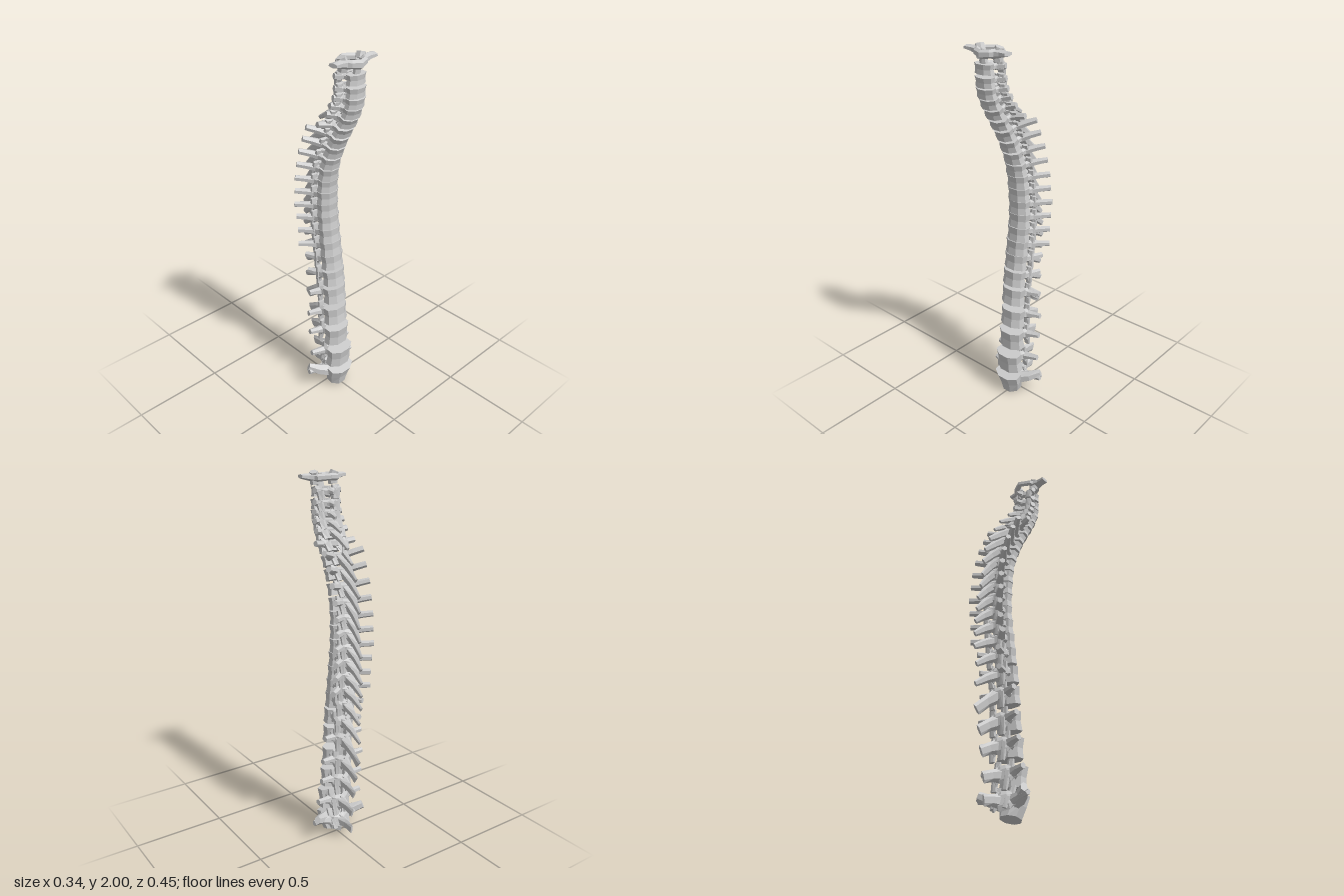
import * as THREE from 'three';

const bone = new THREE.MeshStandardMaterial({ color: 0xcccccc, flatShading: true });
const V = (x, y, z) => new THREE.Vector3(x, y, z);
const lerp = THREE.MathUtils.lerp;

// Vertebrae from top to bottom: [y, front z, tilt, rear spine tip y, rear spine tip z, side wing reach]
const cervical = [
  [1.893, 0.215, 0.05, 1.895, 0.065, 0.078],
  [1.832, 0.215, 0.1, 1.835, 0.06, 0.078],
  [1.78, 0.21, 0.18, 1.775, 0.045, 0.082],
  [1.73, 0.193, 0.32, 1.71, 0.0, 0.088],
  [1.678, 0.168, 0.42, 1.635, -0.065, 0.094],
  [1.62, 0.135, 0.45, 1.565, -0.105, 0.118],
];
const thoracic = [
  [1.56, 0.103, 0.45, 1.49, -0.14, 0.12],
  [1.495, 0.073, 0.38, 1.41, -0.17, 0.115],
  [1.425, 0.045, 0.3, 1.335, -0.178, 0.115],
  [1.355, 0.027, 0.2, 1.255, -0.18, 0.112],
  [1.285, 0.016, 0.1, 1.185, -0.19, 0.115],
  [1.213, 0.012, 0.05, 1.11, -0.205, 0.115],
  [1.14, 0.01, 0, 1.045, -0.21, 0.12],
  [1.067, 0.014, -0.03, 0.975, -0.218, 0.113],
  [0.99, 0.022, -0.05, 0.905, -0.22, 0.112],
  [0.912, 0.033, -0.07, 0.835, -0.22, 0.118],
  [0.832, 0.043, -0.08, 0.745, -0.205, 0.075],
  [0.735, 0.057, -0.1, 0.64, -0.21, 0.07],
];
const lumbar = [
  [0.625, 0.066, -0.1, 0.51, -0.2, 0.118],
  [0.49, 0.072, -0.08, 0.41, -0.18, 0.13],
  [0.355, 0.082, 0.06, 0.31, -0.165, 0.132],
  [0.213, 0.103, 0.12, 0.19, -0.15, 0.14],
  [0.073, 0.1, 0.3, 0.085, -0.145, 0.165],
];

// Regional proportions; pairs run from the first to the last vertebra.
// facet: [distance from the middle as a share of hw, thickness]
const regions = [
  { name: 'cervical', rows: cervical, hw: [0.052, 0.057], h: [0.048, 0.05], d: [0.06, 0.07],
    canal: 0.035, sweep: 0.015, tip: 0.02, blade: 0.042, facet: [1.02, 0.04] },
  { name: 'thoracic', rows: thoracic, hw: [0.056, 0.065], h: [0.056, 0.085], d: [0.075, 0.09],
    canal: 0.03, sweep: 0.065, tip: 0.03, blade: 0.056, facet: [0.72, 0.034] },
  { name: 'lumbar', rows: lumbar, hw: [0.067, 0.08], h: [0.092, 0.115], d: [0.094, 0.1],
    canal: 0.032, sweep: 0.012, tip: 0.058, blade: 0.074, facet: [0.58, 0.036] },
];

// Slight sideways drift of the upper half
const midX = (y) => -0.03 * THREE.MathUtils.clamp((y - 1.05) / 0.85, 0, 1);

// Angular strut: hexagonal sections along points [x, y, z, width, height]
function strut(name, pts, closed = false) {
  const n = 6, pos = [], idx = [];
  const P = pts.map((p) => V(p[0], p[1], p[2]));
  const count = pts.length;
  pts.forEach((p, i) => {
    const next = closed ? P[(i + 1) % count] : P[Math.min(i + 1, count - 1)];
    const prev = closed ? P[(i + count - 1) % count] : P[Math.max(i - 1, 0)];
    const t = next.clone().sub(prev).normalize();
    const ref = Math.abs(t.y) > 0.85 ? V(0, 0, 1) : V(0, 1, 0);
    const side = t.clone().cross(ref).normalize();
    const up = side.clone().cross(t);
    for (let k = 0; k < n; k++) {
      const a = (k / n) * Math.PI * 2 + Math.PI / 6;
      const q = P[i].clone().addScaledVector(side, Math.cos(a) * p[3] * 0.58).addScaledVector(up, Math.sin(a) * p[4] * 0.5);
      pos.push(q.x, q.y, q.z);
    }
  });
  for (let i = 0; i < (closed ? count : count - 1); i++) {
    for (let k = 0; k < n; k++) {
      const a = i * n + k, b = i * n + (k + 1) % n;
      const c = ((i + 1) % count) * n + k, d = ((i + 1) % count) * n + (k + 1) % n;
      idx.push(a, d, b, a, c, d);
    }
  }
  if (!closed) {
    const e = (count - 1) * n;
    for (let k = 1; k < n - 1; k++) idx.push(0, k, k + 1, e, e + k + 1, e + k);
  }
  const g = new THREE.BufferGeometry();
  g.setAttribute('position', new THREE.Float32BufferAttribute(pos, 3));
  g.setIndex(idx);
  g.computeVertexNormals();
  const m = new THREE.Mesh(g, bone);
  m.name = name;
  return m;
}

// Mirrored pair of struts
function pair(group, name, pts) {
  for (const s of [1, -1]) {
    group.add(strut((s > 0 ? 'left' : 'right') + name, pts.map(([x, ...r]) => [x * s, ...r])));
  }
}

// Eight-sided vertebral body with a slight waist and a flattened back; base narrows the underside
function body(hw, h, d, base) {
  const g = new THREE.CylinderGeometry(1, 1, h, 8, 2);
  g.rotateY(Math.PI / 8);
  const p = g.attributes.position;
  for (let i = 0; i < p.count; i++) {
    const y = p.getY(i);
    const waist = Math.abs(y) < h * 0.1 ? 0.91 : 1;
    const z = Math.max(p.getZ(i), -0.85);
    p.setXYZ(i, p.getX(i) * hw * waist * 1.08 * (y < -h * 0.1 ? base : 1), y, z * d * 0.54 * waist);
  }
  g.computeVertexNormals();
  const m = new THREE.Mesh(g, bone);
  m.name = 'body';
  return m;
}

function vertebra(r, row, f, lowest) {
  const [y, front, tilt, tipY, tipZ, reach] = row;
  const hw = lerp(...r.hw, f), h = lerp(...r.h, f), d = lerp(...r.d, f);
  const back = -d / 2, zc = front - d / 2, lam = back - r.canal;
  const [fx, fw] = [hw * r.facet[0], r.facet[1]];
  const group = new THREE.Group();
  group.position.set(midX(y), y, zc);
  group.rotation.x = tilt;
  group.add(body(hw, h, d, lowest ? 0.7 : 1));

  // Arch around the canal
  pair(group, 'Arch', [
    [hw * 0.62, h * 0.15, back + 0.014, 0.026, h * 0.62],
    [hw * 0.74, h * 0.12, back - 0.014, 0.024, h * 0.58],
    [hw * 0.55, 0, lam, 0.026, h * 0.85],
    [0, -h * 0.15, lam - 0.022, 0.024, h * 0.9],
  ]);
  // Side wings, broad at the root
  const tz = back - 0.018 - r.sweep;
  pair(group, 'SideWing', [
    [hw * 0.5, h * 0.05, back - 0.012, 0.044, h * 0.62],
    [lerp(hw * 0.6, reach, 0.5), h * 0.15, lerp(back - 0.012, tz, 0.55), 0.034, 0.034],
    [reach, h * 0.2, tz, 0.026, 0.032],
  ]);
  // Joint facets above and below the arch
  pair(group, 'UpperFacet', [
    [fx, -h * 0.1, lam + 0.01, fw, fw],
    [fx, h * 0.66, lam + 0.012, fw, fw * 0.6],
  ]);
  pair(group, 'LowerFacet', [
    [fx * 0.88, h * 0.1, lam, fw, fw],
    [fx * 0.8, -h * (lowest ? 0.4 : 0.78), lam - 0.008, fw * 0.9, fw * 0.55],
  ]);
  // Rear spine, its tip turned into the tilted frame
  const tip = V(0, tipY - y, tipZ - zc).applyAxisAngle(V(1, 0, 0), -tilt);
  const root = V(0, -h * 0.08, lam - 0.008), mid = root.clone().lerp(tip, 0.5);
  group.add(strut('rearSpine', [
    [0, root.y, root.z, 0.056, r.blade],
    [0, mid.y + 0.004, mid.z, 0.026, r.blade * 0.8],
    [0, tip.y, tip.z, 0.012, r.tip],
  ]));
  return group;
}

// Ring-shaped top vertebra with broad wings
function atlas() {
  const g = new THREE.Group();
  g.name = 'atlas';
  g.position.set(-0.027, 1.965, 0.15);
  const half = [[0.04, 0, 0.046, 0.026, 0.04], [0.064, 0, 0.012, 0.042, 0.05], [0.054, 0, -0.03, 0.026, 0.036]];
  const mirrored = half.map(([x, ...r]) => [-x, ...r]).reverse();
  g.add(strut('ring', [[0, -0.005, 0.06, 0.028, 0.044], ...half, [0, 0.005, -0.055, 0.028, 0.034], ...mirrored], true));
  pair(g, 'Wing', [
    [0.05, 0, 0.008, 0.075, 0.048],
    [0.09, 0.004, 0.014, 0.045, 0.034],
    [0.13, 0.008, 0.018, 0.046, 0.022],
  ]);
  pair(g, 'UpperFacet', [[0.054, 0, 0.005, 0.044, 0.05], [0.064, 0.029, 0, 0.035, 0.05]]);
  pair(g, 'LowerFacet', [[0.054, 0, 0.005, 0.044, 0.05], [0.054, -0.036, 0, 0.04, 0.05]]);
  return g;
}

export function createModel() {
  const spine = new THREE.Group();
  spine.name = 'spine';
  spine.add(atlas());
  for (const r of regions) {
    r.rows.forEach((row, i) => {
      const v = vertebra(r, row, i / (r.rows.length - 1), row === lumbar.at(-1));
      v.name = `${r.name}Vertebra${r.name === 'cervical' ? i + 2 : i + 1}`;
      // Upright peg of the second vertebra
      if (r.name === 'cervical' && i === 0) {
        v.add(strut('peg', [[0, 0.01, 0, 0.04, 0.034], [0, 0.055, 0.004, 0.03, 0.026], [0, 0.09, 0, 0.016, 0.016]]));
      }
      spine.add(v);
    });
  }
  // Broad wings joining the lowest body to its side wings
  const low = new THREE.Group();
  low.name = 'lowestWings';
  pair(low, 'Wing', [[0.05, 0.095, 0.03, 0.055, 0.075], [0.105, 0.115, 0.0, 0.055, 0.06], [0.155, 0.14, -0.035, 0.03, 0.05]]);
  spine.add(low);
  return spine;
}
